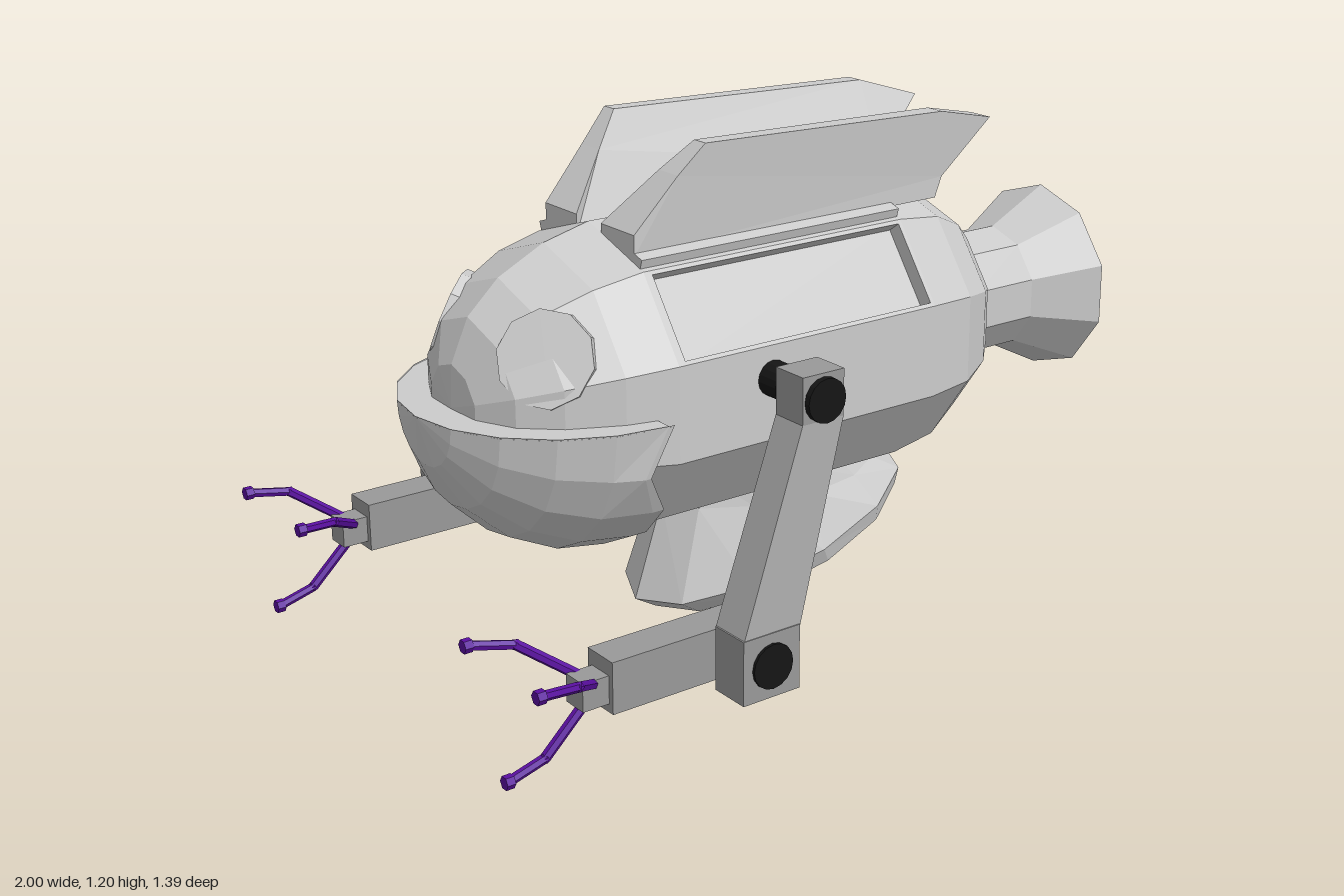
import * as THREE from 'three';

const CY = 0.64;                 // height of the hull axis
const SIDES = 10;
const APOTHEM = 0.365 * Math.cos(Math.PI / SIDES);
const FACET = 2 * 0.365 * Math.sin(Math.PI / SIDES);

const makeMat = (color) => new THREE.MeshStandardMaterial({ color, flatShading: true, side: THREE.DoubleSide });

export function createModel() {
  const root = new THREE.Group();
  const grey = makeMat(0xcccccc);
  const armGrey = makeMat(0x999999);
  const black = makeMat(0x151515);
  const purple = makeMat(0x5a0fa0);

  function add(name, geo, mat = grey, parent = root) {
    const mesh = new THREE.Mesh(geo, mat);
    mesh.name = name;
    parent.add(mesh);
    return mesh;
  }

  // Lathe around the x axis; points are [x, radius]
  function latheX(points, start = Math.PI / 2, length = Math.PI * 2, segments = SIDES) {
    const g = new THREE.LatheGeometry(points.map(([x, r]) => new THREE.Vector2(r, x)), segments, start, length);
    return g.rotateZ(-Math.PI / 2).translate(0, CY, 0);
  }

  // Box given by its minimum and maximum corners
  function box(a, b) {
    return new THREE.BoxGeometry(b[0] - a[0], b[1] - a[1], b[2] - a[2])
      .translate((a[0] + b[0]) / 2, (a[1] + b[1]) / 2, (a[2] + b[2]) / 2);
  }

  // Rod between two points
  function rod(a, b, r, sides = 6) {
    const p = new THREE.Vector3(...a), q = new THREE.Vector3(...b);
    const d = q.clone().sub(p);
    const g = new THREE.CylinderGeometry(r, r, d.length(), sides);
    g.applyQuaternion(new THREE.Quaternion().setFromUnitVectors(new THREE.Vector3(0, 1, 0), d.normalize()));
    const m = p.add(q).multiplyScalar(0.5);
    return g.translate(m.x, m.y, m.z);
  }

  // Hull ends and nozzle
  add('head', latheX([[-0.79, 0], [-0.785, 0.1], [-0.74, 0.2], [-0.66, 0.275], [-0.54, 0.335], [-0.42, 0.365]]));
  add('hullRear', latheX([[0.32, 0.365], [0.45, 0.345], [0.55, 0.29], [0.62, 0.22], [0.66, 0.15]]));
  add('nozzle', latheX([[0.64, 0.16], [0.83, 0.16], [1, 0.245], [1, 0.19], [0.76, 0.118], [0.76, 0]]).translate(0, -0.01, 0));

  // Hull middle: ten flat facets, two of them with a recessed side panel
  const x0 = -0.42, x1 = 0.32, h = FACET / 2, depth = 0.04;
  const rect = (C, l, r, w) => new C([[l, -w], [r, -w], [r, w], [l, w]].map((p) => new THREE.Vector2(...p)));
  for (let i = 0; i < SIDES; i++) {
    const turn = (g) => g.rotateX(-i * Math.PI * 2 / SIDES).translate(0, CY, 0);
    const shape = rect(THREE.Shape, x0, x1, h);
    if (i === 1 || i === 4) {
      shape.holes.push(rect(THREE.Path, -0.4, 0.31, h - 0.01));
      const frame = new THREE.ExtrudeGeometry(shape, { depth, bevelEnabled: false });
      add('sidePanelFrame', turn(frame.translate(0, 0, APOTHEM - depth)));
      add('sidePanel', turn(new THREE.PlaneGeometry(0.72, FACET).translate(-0.045, 0, APOTHEM - depth + 0.002)));
    } else {
      add('hullFacet', turn(new THREE.ShapeGeometry(shape).translate(0, 0, APOTHEM)));
    }
    // Raised plates under the fins
    if (i === 2 || i === 3) {
      const v = i === 2 ? -0.03 : 0.03;
      add('finPlate', turn(box([x0, v - 0.07, APOTHEM - 0.02], [x1, v + 0.07, APOTHEM + 0.022])));
    }
  }

  // Lower jaw: half bowl with a notched rear edge and a flat lip
  const jawPoints = [];
  for (let j = 0; j <= 5; j++) {
    const a = j / 5 * Math.PI / 2;
    jawPoints.push([-0.47 - 0.41 * Math.cos(a), 0.385 * Math.sin(a)]);
  }
  jawPoints.push([-0.44, 0.385]);
  const jaw = latheX(jawPoints, 0, Math.PI, 10);
  const notches = [-0.46, -0.51, -0.44, -0.43, -0.46, -0.43];
  const jp = jaw.attributes.position;
  for (let i = 0; i <= 10; i++) {
    const base = i * jawPoints.length;
    const end = notches[Math.min(i, 10 - i)];
    jp.setX(base + 6, end);
    jp.setX(base + 5, Math.min(-0.47, end - 0.015));
  }
  add('jaw', jaw);
  const lip = new THREE.Shape();
  const arc = (rx, rz, k) => [-0.47 - rx * Math.sin(k * Math.PI / 10), rz * Math.cos(k * Math.PI / 10)];
  for (let k = 0; k <= 10; k++) lip[k ? 'lineTo' : 'moveTo'](...arc(0.41, 0.385, k));
  for (let k = 10; k >= 0; k--) lip.lineTo(...arc(0.29, 0.31, k));
  add('jawLip', new THREE.ShapeGeometry(lip).rotateX(-Math.PI / 2).translate(0, CY - 0.003, 0));

  // Eyes: ten-sided discs set into the head
  for (const s of [1, -1]) {
    const n = new THREE.Vector3(-0.66, 0.36, 0.64 * s).normalize();
    const c = new THREE.Vector3(-0.655, 0.775, 0.19 * s);
    const p = c.clone().addScaledVector(n, -0.05), q = c.clone().addScaledVector(n, 0.025);
    add('eye', rod(p.toArray(), q.toArray(), 0.11, 10));
  }

  // Back fins: side outline extruded, leaning outwards and thinning to the top
  for (const s of [1, -1]) {
    const tip = s > 0 ? -0.04 : 0, drop = s > 0 ? 0.015 : 0;
    const outline = [[-0.42, 0.96], [0.46, 0.96], [0.48, 1.01], [0.66 + tip, 1.14], [0.5 + tip, 1.19 - drop], [-0.24, 1.21 - drop], [-0.31, 1.13], [-0.42, 1.01]];
    const g = new THREE.ExtrudeGeometry(new THREE.Shape(outline.map((p) => new THREE.Vector2(...p))), { depth: 1, bevelEnabled: false });
    const pos = g.attributes.position;
    for (let i = 0; i < pos.count; i++) {
      const k = THREE.MathUtils.clamp((pos.getY(i) - 1.01) / 0.19, 0, 1);
      const t = s > 0 ? pos.getZ(i) : 1 - pos.getZ(i);
      pos.setZ(i, s * THREE.MathUtils.lerp(0.05 + 0.11 * k, 0.18 + 0.02 * k, t));
    }
    add(s > 0 ? 'leftFin' : 'rightFin', g);
  }

  // Belly thruster: tilted oval cup lofted through [frontX, frontY, backX, backY, halfWidth]
  const rings = [
    [-0.21, 0.36, 0.3, 0.36, 0.17],
    [-0.23, 0.28, 0.39, 0.29, 0.19],
    [-0.31, 0.045, 0.47, 0.265, 0.24],
    [-0.25, 0.01, 0.46, 0.22, 0.225],
    [-0.22, 0.025, 0.43, 0.215, 0.2],
    [-0.2, 0.11, 0.36, 0.27, 0.17],
    [0.08, 0.19, 0.08, 0.19, 0],
  ];
  const N = 12, verts = [], faces = [];
  rings.forEach(([ax, ay, bx, by, w], r) => {
    for (let i = 0; i < N; i++) {
      const a = i / N * Math.PI * 2, t = (1 + Math.cos(a)) / 2;
      verts.push(ax + (bx - ax) * t, ay + (by - ay) * t, w * Math.sin(a));
      if (r === 0) continue;
      const j = (i + 1) % N, o = (r - 1) * N;
      faces.push(o + i, o + j, o + N + i, o + j, o + N + j, o + N + i);
    }
  });
  const cup = new THREE.BufferGeometry();
  cup.setAttribute('position', new THREE.Float32BufferAttribute(verts, 3));
  cup.setIndex(faces);
  cup.computeVertexNormals();
  add('bellyThruster', cup);

  // Arms, one on each side
  for (const s of [1, -1]) {
    const arm = new THREE.Group();
    arm.name = s > 0 ? 'leftArm' : 'rightArm';
    root.add(arm);
    const block = (name, a, b) => add(name, box(
      [a[0], a[1], s > 0 ? a[2] : -b[2]], [b[0], b[1], s > 0 ? b[2] : -a[2]]), armGrey, arm);
    const pin = (name, x, y, z0, z1, r) => add(name, rod([x, y, s * z0], [x, y, s * z1], r, 16), black, arm);

    pin('shoulderAxle', -0.163, 0.675, 0.32, 0.44, 0.042);
    pin('shoulderPin', -0.163, 0.675, 0.42, 0.54, 0.052);
    block('shoulderBlock', [-0.22, 0.62, 0.43], [-0.105, 0.735, 0.525]);

    // Upper arm: a box sheared from the shoulder block to the elbow block
    const upper = new THREE.BoxGeometry(1, 1, 1);
    const up = upper.attributes.position;
    for (let i = 0; i < up.count; i++) {
      const top = up.getY(i) > 0;
      const x = up.getX(i), z = up.getZ(i);
      if (top) up.setXYZ(i, -0.1625 + x * 0.115, 0.625, s * 0.4775 + z * 0.095);
      else up.setXYZ(i, -0.43 + x * 0.15, 0.25, s * 0.64 + z * 0.1);
    }
    add('upperArm', upper, armGrey, arm);

    block('elbowBlock', [-0.505, 0.105, 0.59], [-0.355, 0.255, 0.69]);
    pin('elbowPin', -0.43, 0.18, 0.47, 0.697, 0.052);
    block('forearm', [-0.76, 0.12, 0.485], [-0.36, 0.24, 0.577]);
    block('wrist', [-0.825, 0.14, 0.5], [-0.76, 0.205, 0.563]);

    // Three bent claw fingers: two above, one below
    const fingers = [
      [[-0.79, 0.19, 0.51], [-0.89, 0.255, 0.41], [-0.99, 0.27, 0.38]],
      [[-0.79, 0.19, 0.55], [-0.89, 0.255, 0.65], [-0.99, 0.27, 0.665]],
      [[-0.79, 0.15, 0.53], [-0.9, 0.045, 0.53], [-0.99, 0.02, 0.53]],
    ];
    for (const f of fingers) {
      const [a, b, c] = f.map(([x, y, z]) => [x, y, z * s]);
      add('fingerBase', rod(a, b, 0.012), purple, arm);
      add('fingerEnd', rod(b, c, 0.011), purple, arm);
      add('fingerKnuckle', new THREE.IcosahedronGeometry(0.013).translate(...b), purple, arm);
      add('fingerTip', rod([c[0] + 0.01, c[1], c[2]], [c[0] - 0.01, c[1], c[2]], 0.016), purple, arm);
    }
  }
  return root;
}
